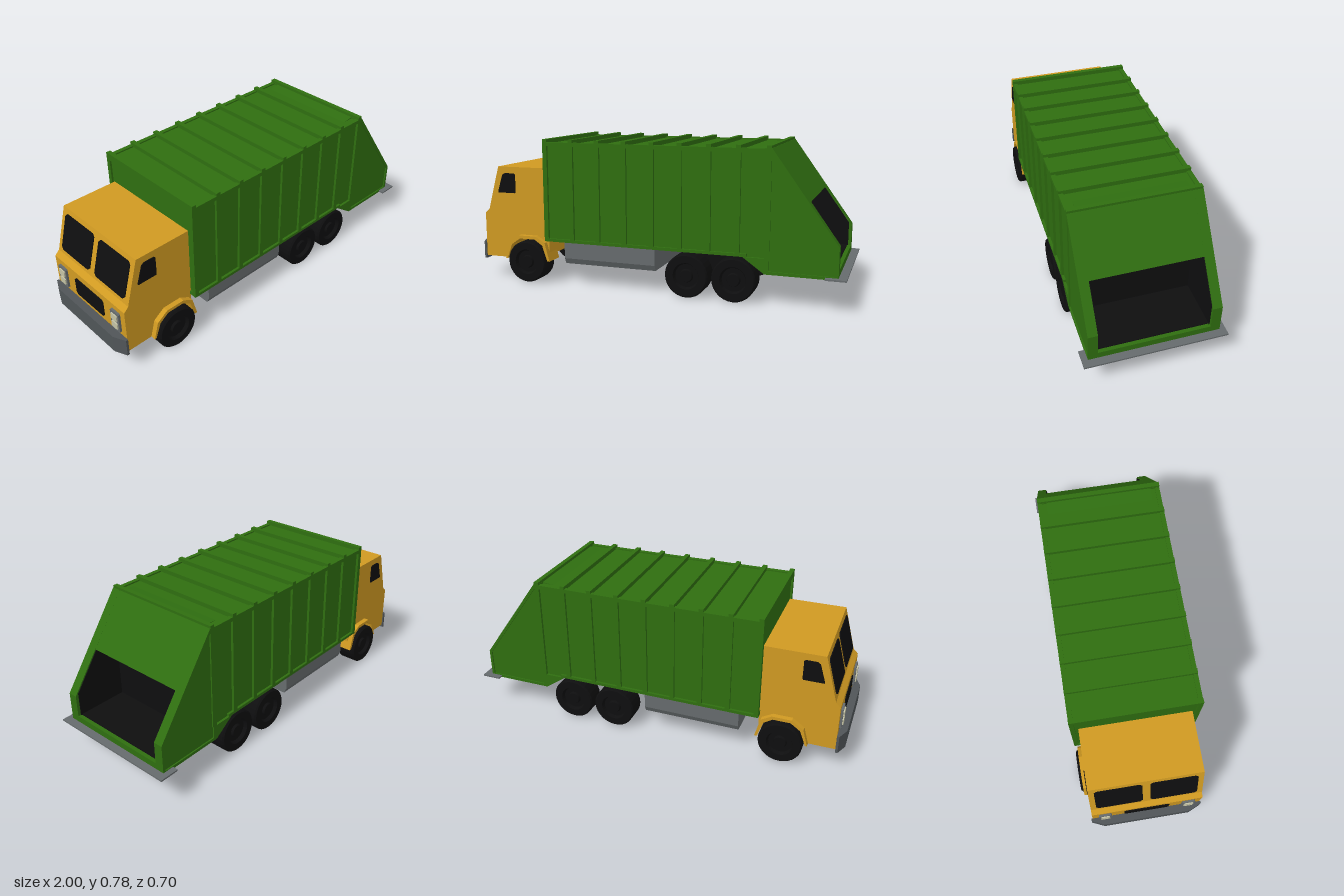
import * as THREE from 'three';

const mat = (name, color) => Object.assign(new THREE.MeshStandardMaterial({ color }), { name });

export function createModel() {
  const orange = mat('cab orange', 0xd09a22);
  const green = mat('body green', 0x2f6e10);
  const black = mat('black', 0x0e0e0f);
  const gray = mat('steel gray', 0x666b6d);
  const darkGray = mat('bumper gray', 0x505558);
  const lamp = mat('lamp', 0xc4c2a4);
  const truck = new THREE.Group();
  truck.name = 'garbageTruck';

  const add = (name, geo, material, parent = truck) => {
    const m = new THREE.Mesh(geo, material);
    m.name = name;
    parent.add(m);
    return m;
  };
  // box given by its limits
  const box = (name, material, x0, x1, y0, y1, z0, z1, parent) =>
    add(name, new THREE.BoxGeometry(x1 - x0, y1 - y0, z1 - z0)
      .translate((x0 + x1) / 2, (y0 + y1) / 2, (z0 + z1) / 2), material, parent);
  const outline = pts => pts.map(p => new THREE.Vector2(p[0], p[1]));
  // side profile extruded across the truck from z0 to z1
  const slab = (name, material, pts, z0, z1, hole) => {
    const shape = new THREE.Shape(outline(pts));
    if (hole) shape.holes.push(new THREE.Path(outline(hole)));
    const geo = new THREE.ExtrudeGeometry(shape, { depth: z1 - z0, bevelEnabled: false });
    return add(name, geo.translate(0, 0, z0), material);
  };
  // same slab on both sides
  const slabPair = (name, material, pts, z0, z1, hole) => {
    slab('left' + name, material, pts, z0, z1, hole);
    slab('right' + name, material, pts, -z1, -z0, hole);
  };
  // thin plate facing forwards (-x) with clipped corners
  const facePlate = (name, material, w, h, c, depth, parent) => {
    const a = w / 2, b = h / 2;
    const shape = new THREE.Shape(outline([[-a + c, -b], [a - c, -b], [a, -b + c], [a, b - c],
      [a - c, b], [-a + c, b], [-a, b - c], [-a, -b + c]]));
    const geo = new THREE.ExtrudeGeometry(shape, { depth, bevelEnabled: false });
    return add(name, geo.rotateY(-Math.PI / 2), material, parent);
  };

  // cab with wheel arch cut through the underside
  slab('cab', orange, [[-0.96, 0.12], [-0.82, 0.12], [-0.79, 0.2], [-0.74, 0.24], [-0.64, 0.24],
    [-0.595, 0.21], [-0.57, 0.15], [-0.57, 0.62], [-0.87, 0.62], [-0.935, 0.385], [-0.96, 0.36]], -0.283, 0.283);
  // wheel arch flares
  slabPair('Fender', orange, [[-0.815, 0.12], [-0.785, 0.2], [-0.735, 0.235], [-0.645, 0.235], [-0.6, 0.205],
    [-0.572, 0.12], [-0.558, 0.12], [-0.585, 0.22], [-0.64, 0.252], [-0.74, 0.252], [-0.8, 0.21], [-0.825, 0.12]], 0.2, 0.31);
  slabPair('SideWindow', black, [[-0.872, 0.478], [-0.77, 0.478], [-0.767, 0.485], [-0.767, 0.578],
    [-0.775, 0.585], [-0.83, 0.585], [-0.845, 0.575], [-0.872, 0.487]], 0.28, 0.287);
  // split windscreen lying on the sloping face
  const screen = new THREE.Group();
  screen.name = 'windscreen';
  screen.position.set(-0.9035, 0.5, 0);
  screen.rotation.z = -Math.atan2(0.065, 0.235);
  truck.add(screen);
  for (const s of [1, -1]) {
    facePlate('windscreenPane', black, 0.235, 0.195, 0.014, 0.005, screen).position.z = s * 0.137;
  }
  // nose details
  facePlate('grille', black, 0.23, 0.1, 0.01, 0.006).position.set(-0.959, 0.275, 0);
  for (const s of [1, -1]) {
    facePlate('headlightFrame', gray, 0.065, 0.115, 0.005, 0.012).position.set(-0.959, 0.275, s * 0.215);
    for (const y of [0.252, 0.3]) {
      facePlate('headlight', lamp, 0.045, 0.036, 0.004, 0.007).position.set(-0.97, y, s * 0.215);
    }
  }
  // bumper with swept back ends
  const bumper = new THREE.Shape(outline([[-0.96, -0.29], [-0.96, 0.29], [-0.972, 0.29], [-1, 0.225], [-1, -0.225], [-0.972, -0.29]]));
  add('bumper', new THREE.ExtrudeGeometry(bumper, { depth: 0.095, bevelEnabled: false })
    .rotateX(Math.PI / 2).translate(0, 0.2, 0), darkGray);

  // container body with recessed panels
  box('container', green, -0.565, 0.63, 0.235, 0.755, -0.31, 0.31);
  for (let i = 0; i < 9; i++) {
    const x = -0.563 + i * 0.148;
    box('roofRib', green, x - 0.012, x + 0.012, 0.74, 0.777, -0.323, 0.323);
    for (const s of [1, -1]) {
      box('sideRib', green, x - 0.012, x + 0.012, 0.235, 0.76, s * 0.3115 - 0.0115, s * 0.3115 + 0.0115);
    }
  }
  for (const s of [1, -1]) {
    const z0 = s * 0.3115 - 0.0115, z1 = s * 0.3115 + 0.0115;
    box('bottomRail', green, -0.575, 0.52, 0.235, 0.25, z0, z1);
    box('topRail', green, -0.575, 0.63, 0.742, 0.762, z0, z1);
  }
  box('frontTopFrame', green, -0.575, -0.56, 0.742, 0.762, -0.323, 0.323);
  box('frontBottomFrame', green, -0.575, -0.56, 0.235, 0.255, -0.323, 0.323);

  // tail: centre section with loading mouth, side walls and edge frames
  slab('tailCentre', green, [[0.5, 0.235], [0.61, 0.157], [0.96, 0.157], [0.96, 0.2], [0.68, 0.2], [0.68, 0.48],
    [0.815, 0.515], [0.635, 0.765], [0.5, 0.75]], -0.275, 0.275);
  const tail = [[0.5, 0.235], [0.61, 0.157], [0.96, 0.157], [0.96, 0.315], [0.635, 0.765], [0.608, 0.765], [0.608, 0.235]];
  slabPair('TailWall', green, tail, 0.275, 0.316);
  slabPair('TailFrame', green, tail, 0.31, 0.323,
    [[0.628, 0.172], [0.946, 0.172], [0.946, 0.309], [0.632, 0.742]]);
  // dark lining of the mouth
  box('mouthBack', black, 0.675, 0.684, 0.2, 0.48, -0.275, 0.275);
  box('mouthFloor', black, 0.68, 0.94, 0.197, 0.204, -0.275, 0.275);
  slabPair('MouthLining', black, [[0.68, 0.2], [0.945, 0.2], [0.945, 0.325], [0.812, 0.51], [0.68, 0.477]], 0.271, 0.277);
  box('rearStep', gray, 0.9, 1, 0.16, 0.168, -0.352, 0.352);

  // chassis box, chamfered along the bottom
  const chassis = new THREE.Shape(outline([[-0.285, 0.115], [0.285, 0.115], [0.3, 0.145], [0.3, 0.236], [-0.3, 0.236], [-0.3, 0.145]]));
  add('chassisBox', new THREE.ExtrudeGeometry(chassis, { depth: 0.51, bevelEnabled: false })
    .rotateY(-Math.PI / 2).translate(0.04, 0, 0), gray);

  // wheels: tyre with a dished hub
  const tyre = new THREE.LatheGeometry(outline([[0, -0.057], [0.098, -0.057], [0.098, -0.045], [0.112, -0.045],
    [0.112, 0.05], [0.105, 0.058], [0.068, 0.058], [0.06, 0.04], [0.035, 0.04], [0.03, 0.052], [0, 0.052]]), 28);
  tyre.rotateX(Math.PI / 2);
  const flatTyre = tyre.toNonIndexed();
  flatTyre.computeVertexNormals();
  for (const x of [-0.69, 0.213, 0.455]) {
    for (const s of [1, -1]) {
      const w = add(x < 0 ? 'frontWheel' : 'rearWheel', flatTyre, black);
      w.position.set(x, 0.112, s * 0.265);
      if (s < 0) w.rotation.y = Math.PI;
    }
  }
  return truck;
}
